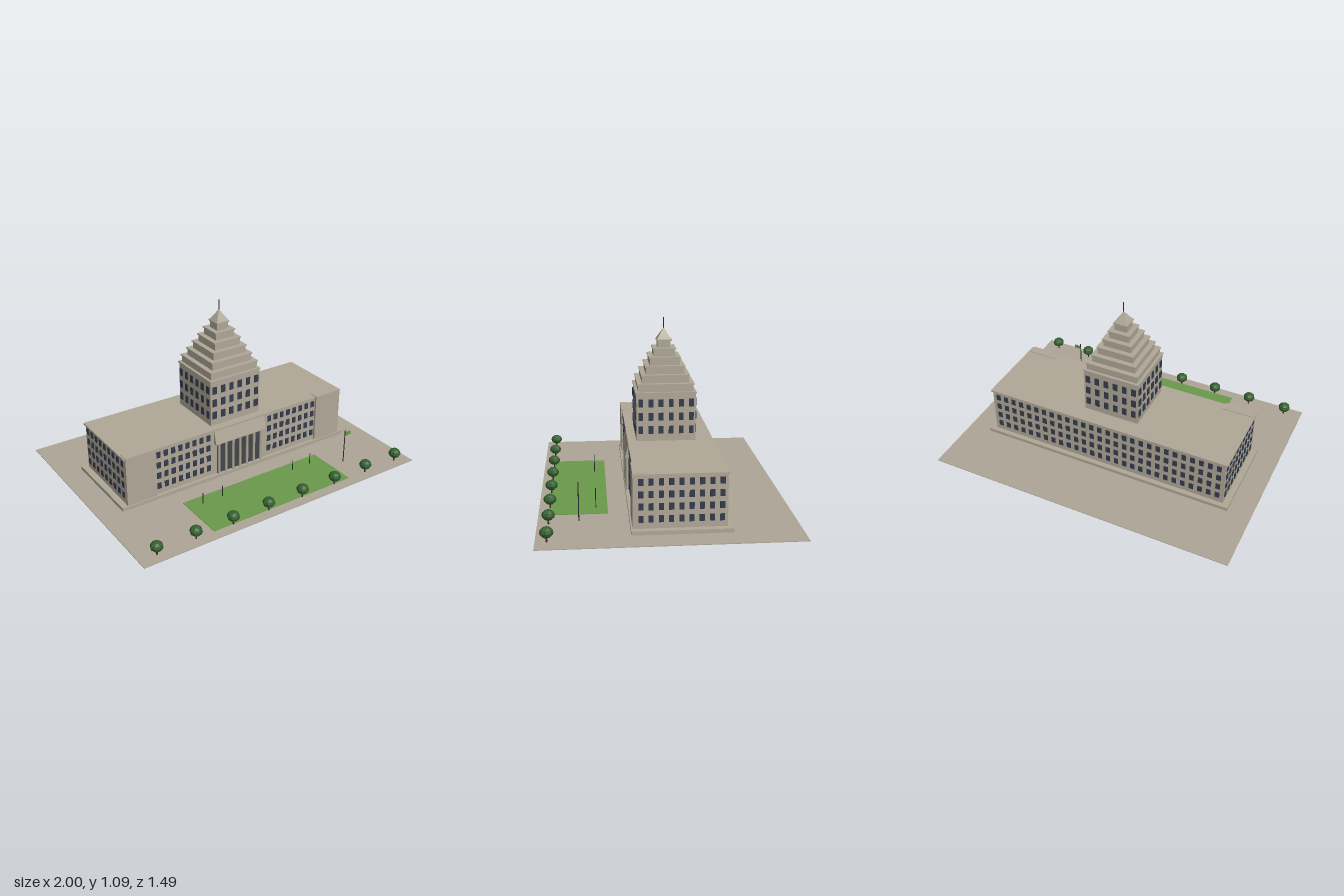
import * as THREE from 'three';
import { mergeGeometries } from 'three/addons/utils/BufferGeometryUtils.js';

const mat = (name, color, extra = {}) => {
  const m = new THREE.MeshStandardMaterial({ color, ...extra });
  m.name = name;
  return m;
};

export function createModel() {
  const stone = mat('stone', 0xb0a898);
  const paving = mat('paving', 0xaea696);
  const glass = mat('window glass', 0x333b4c);
  const recess = mat('portico recess', 0x45464a);
  const grass = mat('grass', 0x6a9a4c);
  const leaf = mat('foliage', 0x35602f);
  const bark = mat('bark', 0x3d3024);
  const metal = mat('dark metal', 0x2c2e30);
  const flagCloth = mat('flag cloth', 0x5f9a48, { side: THREE.DoubleSide });

  const model = new THREE.Group();
  const add = (name, geometry, material, parent = model) => {
    const mesh = new THREE.Mesh(geometry, material);
    mesh.name = name;
    parent.add(mesh);
    return mesh;
  };
  // Box given by its limits on each axis
  const box = (x0, x1, y0, y1, z0, z1) =>
    new THREE.BoxGeometry(x1 - x0, y1 - y0, z1 - z0)
      .translate((x0 + x1) / 2, (y0 + y1) / 2, (z0 + z1) / 2);
  const squareBlock = (half, y0, y1, z) => box(-half, half, y0, y1, z - half, z + half);
  const spread = (from, to, n) =>
    Array.from({ length: n }, (_, i) => from + ((to - from) * i) / (n - 1));

  // Grid of window plates on one wall; axis is the wall's normal
  const windows = (name, axis, wall, columns, rows, w, h) => {
    const t = 0.009;
    const plates = [];
    for (const c of columns) for (const y of rows) {
      plates.push(axis === 'z'
        ? new THREE.BoxGeometry(w, h, t).translate(c, y, wall)
        : new THREE.BoxGeometry(t, h, w).translate(wall, y, c));
    }
    add(name, mergeGeometries(plates), glass);
  };

  // Site
  add('plaza', box(-1, 1, 0, 0.004, -0.745, 0.745), paving);
  add('lawn', box(-0.508, 0.508, 0.003, 0.007, 0.338, 0.679), grass);

  // Main block
  add('plinth', box(-0.85, 0.85, 0.002, 0.027, -0.354, 0.219), stone);
  add('mainBlock', box(-0.81, 0.81, 0.027, 0.336, -0.323, 0.196), stone);
  add('roofSlab', box(-0.822, 0.822, 0.335, 0.346, -0.329, 0.203), stone);
  for (const s of [-1, 1]) {
    const [a, b] = s < 0 ? [-0.812, -0.61] : [0.61, 0.812];
    add('endPavilion', box(a, b, 0.027, 0.35, 0.15, 0.21), stone);
  }
  const rows = spread(0.083, 0.298, 4);
  const wing = spread(0.232, 0.587, 8);
  windows('frontWindowsLeft', 'z', 0.196, wing, rows, 0.027, 0.04);
  windows('frontWindowsRight', 'z', 0.196, wing.map((x) => -x), rows, 0.027, 0.04);
  windows('backWindows', 'z', -0.323, spread(-0.77, 0.77, 28), rows, 0.029, 0.04);
  for (const s of [-1, 1])
    windows('sideWindows', 'x', s * 0.81, spread(-0.291, 0.164, 9), rows, 0.028, 0.04);

  // Portico with sloping canopy
  add('porticoRecess', box(-0.17, 0.17, 0.027, 0.24, 0.194, 0.199), recess);
  const profile = new THREE.Shape([[0.19, 0.243], [0.22, 0.243], [0.22, 0.25], [0.198, 0.333], [0.19, 0.333]]
    .map(([z, y]) => new THREE.Vector2(z, y)));
  add('porticoCanopy', new THREE.ExtrudeGeometry(profile, { depth: 0.38, bevelEnabled: false })
    .rotateY(-Math.PI / 2).translate(0.19, 0, 0), stone);
  for (const x of spread(-0.16, 0.16, 7))
    add('porticoColumn', new THREE.CylinderGeometry(0.009, 0.009, 0.217, 10).translate(x, 0.1355, 0.208), stone);

  // Tower
  const tz = -0.034;
  add('towerShaft', squareBlock(0.183, 0.34, 0.65, tz), stone);
  add('towerCornice', squareBlock(0.188, 0.643, 0.652, tz), stone);
  const cols = spread(-0.156, 0.156, 6);
  const floors = [0.416, 0.5, 0.585];
  for (const s of [-1, 1]) {
    windows('towerWindows', 'z', tz + s * 0.184, cols, floors, 0.029, 0.048);
    windows('towerSideWindows', 'x', s * 0.184, cols.map((c) => c + tz), floors, 0.029, 0.048);
  }
  // Stepped crown: each tier carries a thin ledge
  spread(0.17, 0.041, 6).forEach((half, i) => {
    const y = 0.65 + i * 0.0505;
    add('crownTier', squareBlock(half, y, y + 0.05, tz), stone);
    add('crownLedge', squareBlock(half + 0.006, y + 0.044, y + 0.0515, tz), stone);
  });
  const spire = new THREE.ConeGeometry(0.044 * Math.SQRT2, 0.071, 4, 1).rotateY(Math.PI / 4).toNonIndexed();
  spire.computeVertexNormals();
  add('spire', spire.translate(0, 0.989, tz), stone);
  add('antenna', new THREE.CylinderGeometry(0.0025, 0.0025, 0.07, 6).translate(0, 1.052, tz), metal);

  // Row of trees
  const crown = new THREE.SphereGeometry(0.039, 8, 6).scale(1, 0.82, 1).toNonIndexed();
  crown.computeVertexNormals();
  const trunk = new THREE.CylinderGeometry(0.004, 0.005, 0.04, 6).translate(0, 0.02, 0);
  for (const x of spread(-0.884, 0.897, 8)) {
    const tree = new THREE.Group();
    tree.name = 'tree';
    add('treeTrunk', trunk, bark, tree);
    add('treeCrown', crown, leaf, tree).position.y = 0.06;
    tree.position.set(x, 0, 0.68);
    model.add(tree);
  }

  // Lamp posts and flagpole
  for (const x of [-0.41, -0.27, 0.27, 0.41])
    add('lampPost', new THREE.CylinderGeometry(0.0025, 0.0025, 0.08, 6).translate(x, 0.04, 0.408), metal);
  add('flagpole', new THREE.CylinderGeometry(0.003, 0.003, 0.24, 6).translate(0.61, 0.12, 0.508), metal);
  add('flag', new THREE.PlaneGeometry(0.045, 0.027).translate(0.634, 0.21, 0.508), flagCloth);

  return model;
}
